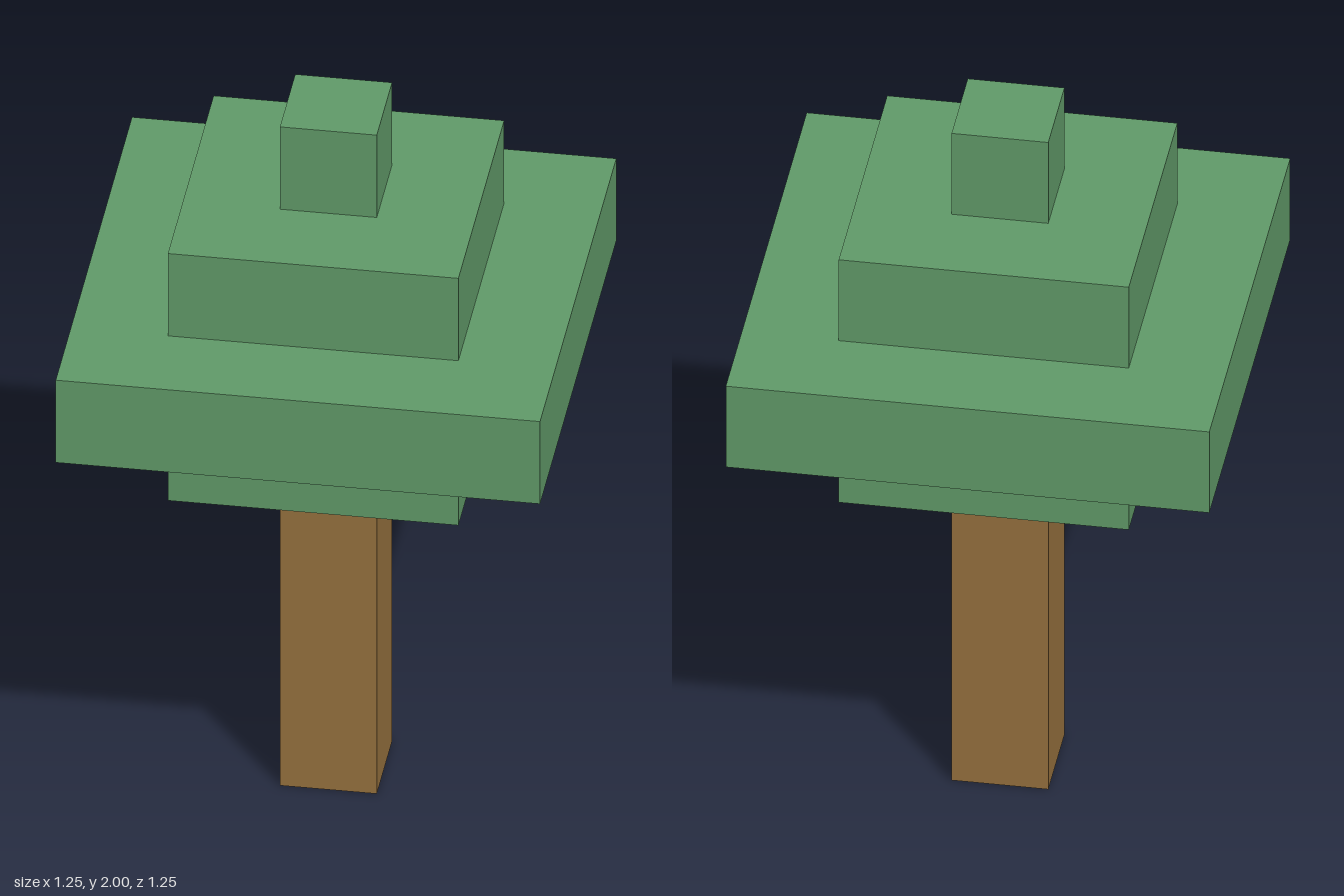
import * as THREE from 'three';

export function createModel() {
  const tree = new THREE.Group();
  tree.name = 'tree';

  const bark = new THREE.MeshStandardMaterial({ color: 0x97723f });
  bark.name = 'bark brown';
  const leaf = new THREE.MeshStandardMaterial({ color: 0x629c6a });
  leaf.name = 'leaf green';

  // Square block standing on a given height
  function addBlock(name, width, height, bottom, material) {
    const block = new THREE.Mesh(new THREE.BoxGeometry(width, height, width), material);
    block.name = name;
    block.position.y = bottom + height / 2;
    tree.add(block);
  }

  // Trunk
  addBlock('trunk', 0.25, 1, 0, bark);

  // Foliage tiers, stacked from the bottom up
  const tiers = [
    ['lowerFoliage', 0.75],
    ['wideFoliage', 1.25],
    ['upperFoliage', 0.75],
    ['treeTop', 0.25],
  ];
  tiers.forEach(([name, width], i) => addBlock(name, width, 0.25, 1 + i * 0.25, leaf));

  return tree;
}
